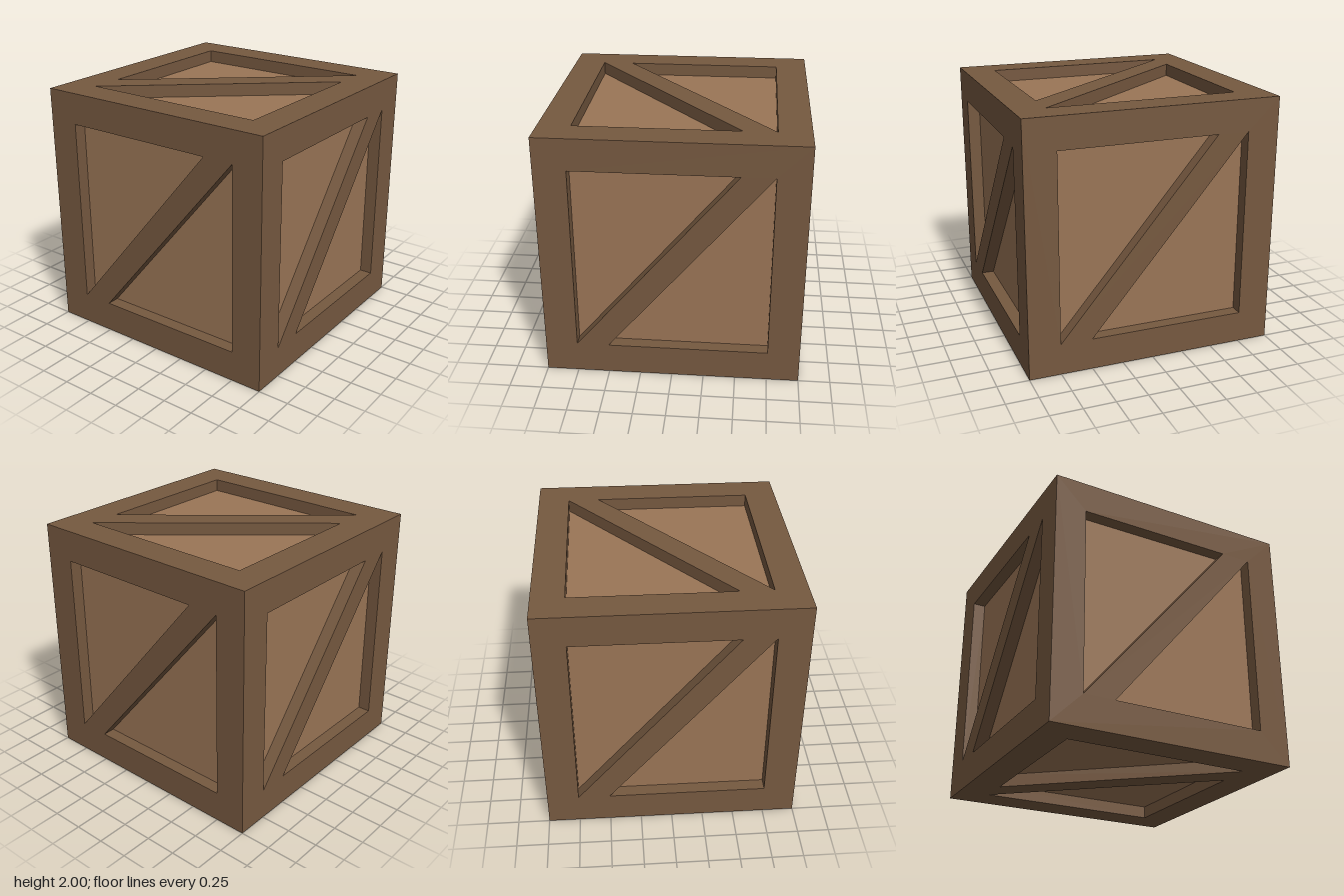
import * as THREE from 'three';

const HALF = 1, INNER = 0.75, BRACE = 0.5, DEPTH = 0.1;

// Square frame with a diagonal brace, left between two triangular openings.
// mirror is 1 for a brace rising to the right, -1 for one rising to the left.
function frameGeometry(mirror) {
  const points = (list) => list.map(([x, y]) => new THREE.Vector2(x * mirror, y));
  const shape = new THREE.Shape(points([[-HALF, -HALF], [HALF, -HALF], [HALF, HALF], [-HALF, HALF]]));
  shape.holes.push(
    new THREE.Path(points([[-INNER, -INNER], [-INNER, INNER], [BRACE, INNER]])),
    new THREE.Path(points([[INNER, INNER], [INNER, -INNER], [-BRACE, -INNER]])),
  );
  const geometry = new THREE.ExtrudeGeometry(shape, { depth: DEPTH, bevelEnabled: false });
  geometry.translate(0, 0, HALF - DEPTH);

  // Mitre the outer rim so that neighbouring frames meet along the cube's edges
  const p = geometry.attributes.position;
  for (let i = 0; i < p.count; i++) {
    if (p.getZ(i) > HALF - DEPTH / 2) continue;
    const limit = HALF - DEPTH;
    p.setX(i, THREE.MathUtils.clamp(p.getX(i), -limit, limit));
    p.setY(i, THREE.MathUtils.clamp(p.getY(i), -limit, limit));
  }
  geometry.computeVertexNormals();
  return geometry;
}

export function createModel() {
  const frameWood = new THREE.MeshStandardMaterial({ name: 'frameWood', color: 0x765940 });
  const panelWood = new THREE.MeshStandardMaterial({ name: 'panelWood', color: 0x9a7556 });

  const crate = new THREE.Group();
  crate.name = 'crate';

  // Recessed panels: one inner box seen through the frames
  const size = 2 * (HALF - DEPTH);
  const panels = new THREE.Mesh(new THREE.BoxGeometry(size, size, size), panelWood);
  panels.name = 'panels';
  panels.position.y = HALF;
  crate.add(panels);

  // One braced frame on each side; the lid and base are mirrored
  const sideFrame = frameGeometry(1);
  const lidFrame = frameGeometry(-1);
  const quarter = Math.PI / 2;
  const faces = [
    ['frontFrame', sideFrame, 0, 0],
    ['leftFrame', sideFrame, 0, quarter],
    ['backFrame', sideFrame, 0, Math.PI],
    ['rightFrame', sideFrame, 0, -quarter],
    ['topFrame', lidFrame, -quarter, 0],
    ['bottomFrame', lidFrame, quarter, 0],
  ];
  for (const [name, geometry, rx, ry] of faces) {
    const frame = new THREE.Mesh(geometry, frameWood);
    frame.name = name;
    frame.rotation.set(rx, ry, 0);
    frame.position.y = HALF;
    crate.add(frame);
  }
  return crate;
}
